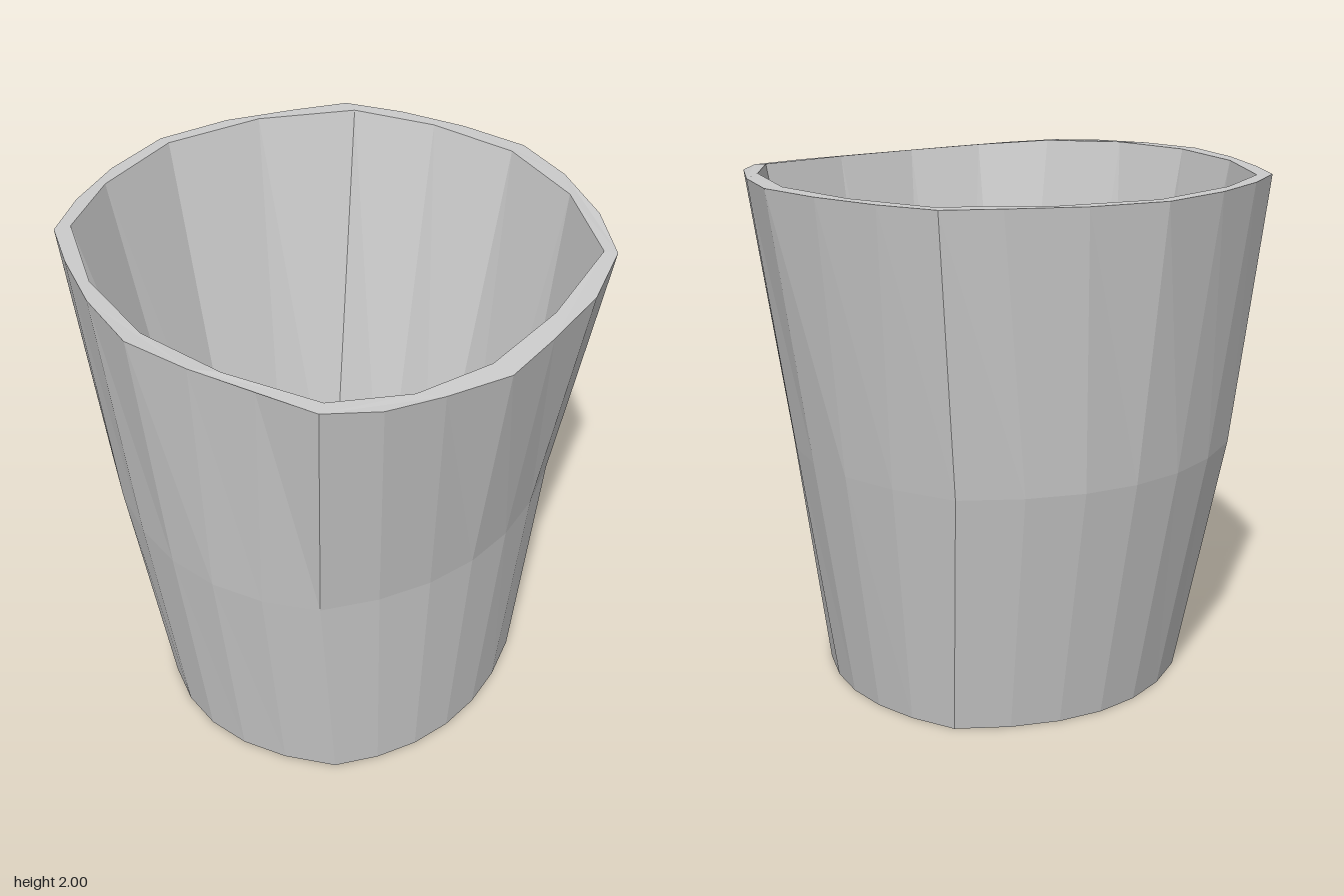
import * as THREE from 'three';

const material = new THREE.MeshStandardMaterial({ color: 0xcccccc, flatShading: true });

// The rim dips gently towards the model's left side
const rimHeight = (x) => 1.995 - 0.055 * Math.max(x, 0) ** 3;

// Rings run from the back round through left, front and right, as [x, z]
const RIM_OUTER = [
  [0.03, -0.99], [0.29, -0.93], [0.56, -0.81], [0.77, -0.66], [0.89, -0.4], [0.95, -0.11],
  [0.99, 0.14], [0.93, 0.39], [0.86, 0.6], [0.74, 0.77], [0.53, 0.85], [0.29, 0.93],
  [0.03, 0.98], [-0.25, 0.92], [-0.51, 0.82], [-0.71, 0.72], [-0.83, 0.53], [-0.93, 0.29],
  [-0.99, 0], [-0.93, -0.29], [-0.81, -0.55], [-0.71, -0.74], [-0.5, -0.85], [-0.24, -0.94],
];
const RIM_INNER = [
  [0.03, -0.92], [0.4, -0.83], [0.73, -0.63], [0.86, -0.22], [0.91, 0.15], [0.86, 0.46],
  [0.71, 0.72], [0.38, 0.86], [0.03, 0.91], [-0.34, 0.84], [-0.69, 0.66], [-0.85, 0.38],
  [-0.94, 0], [-0.85, -0.39], [-0.64, -0.72], [-0.33, -0.86],
];
const FLOOR = [
  [0.04, -0.5], [0.27, -0.46], [0.5, -0.39], [0.54, -0.19], [0.55, 0], [0.54, 0.18],
  [0.49, 0.38], [0.27, 0.47], [0.03, 0.55], [-0.21, 0.49], [-0.45, 0.39], [-0.51, 0.2],
  [-0.55, 0], [-0.51, -0.19], [-0.43, -0.4], [-0.19, -0.47],
];

// Rounded-square ring of 24 points: each side is a parabola through corner, middle, corner.
// Keys: back middle, corner, left middle, corner, front middle, corner, right middle, corner
function roundedSquare(keys) {
  const ring = [];
  for (let i = 0; i < 24; i++) {
    const side = Math.floor((i + 3) / 6) % 4;
    const s = (((i + 3) % 6) - 3) / 3;
    const a = keys[(side * 2 + 7) % 8], m = keys[side * 2], b = keys[side * 2 + 1];
    ring.push([0, 1].map((k) => m[k] + (s * (b[k] - a[k])) / 2 + s * s * ((a[k] + b[k]) / 2 - m[k])));
  }
  return ring;
}

const MIDDLE = roundedSquare([
  [0.03, -0.83], [0.61, -0.57], [0.79, 0.05], [0.6, 0.64],
  [0.03, 0.85], [-0.63, 0.62], [-0.85, 0], [-0.63, -0.63],
]);
const BASE = roundedSquare([
  [0.03, -0.68], [0.54, -0.5], [0.69, 0.03], [0.54, 0.51],
  [0.03, 0.71], [-0.47, 0.51], [-0.66, 0], [-0.47, -0.54],
]);

const lift = (ring, height) => ring.map(([x, z]) => [x, typeof height === 'function' ? height(x) : height, z]);

// Wall through a list of rings; faces outward when rings go upward, inward when downward
function loft(name, rings) {
  const n = rings[0].length;
  const index = [];
  for (let r = 0; r < rings.length - 1; r++) {
    for (let i = 0; i < n; i++) {
      const a = r * n + i, b = r * n + ((i + 1) % n);
      index.push(a, a + n, b + n, a, b + n, b);
    }
  }
  const geometry = new THREE.BufferGeometry();
  geometry.setAttribute('position', new THREE.Float32BufferAttribute(rings.flat(2), 3));
  geometry.setIndex(index);
  geometry.computeVertexNormals();
  return makeMesh(name, geometry);
}

// Flat cap over a ring, with an optional opening, facing up or down
function cap(name, ring, height, up = true, opening = null) {
  const points = (r) => r.map(([x, z]) => new THREE.Vector2(x, up ? -z : z));
  const shape = new THREE.Shape(points(ring));
  if (opening) shape.holes.push(new THREE.Path(points(opening)));
  const geometry = new THREE.ShapeGeometry(shape).rotateX(up ? -Math.PI / 2 : Math.PI / 2);
  const p = geometry.attributes.position;
  for (let i = 0; i < p.count; i++) {
    p.setY(i, typeof height === 'function' ? height(p.getX(i)) : height);
  }
  geometry.computeVertexNormals();
  return makeMesh(name, geometry);
}

function makeMesh(name, geometry) {
  const mesh = new THREE.Mesh(geometry, material);
  mesh.name = name;
  return mesh;
}

export function createModel() {
  const cup = new THREE.Group();
  cup.name = 'cup';
  const floorHeight = 0.1;
  cup.add(
    loft('outerWall', [lift(BASE, 0), lift(MIDDLE, 0.96), lift(RIM_OUTER, rimHeight)]),
    loft('innerWall', [lift(RIM_INNER, rimHeight), lift(FLOOR, floorHeight)]),
    cap('rim', RIM_OUTER, rimHeight, true, RIM_INNER),
    cap('innerFloor', FLOOR, floorHeight),
    cap('base', BASE, 0, false),
  );
  return cup;
}
